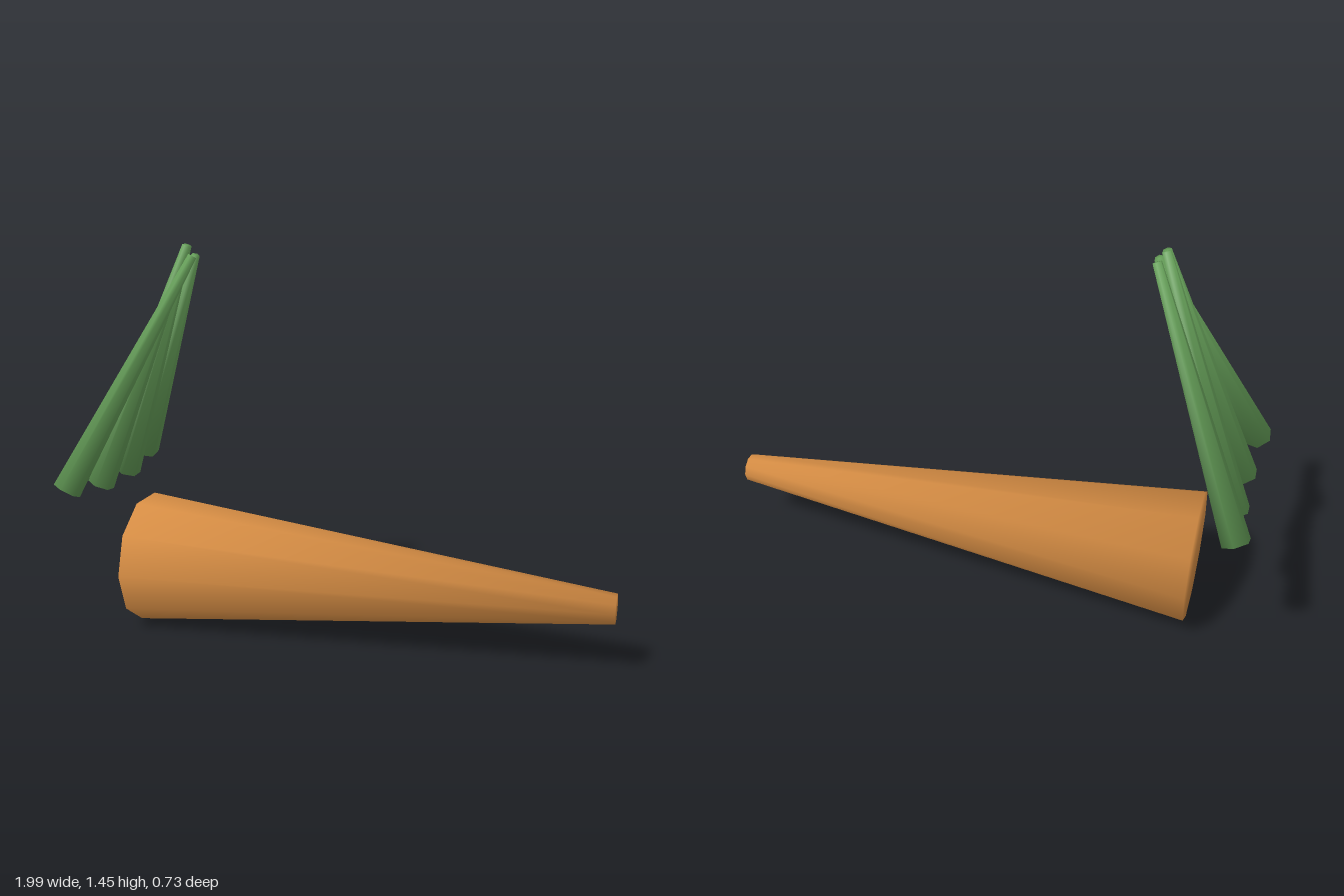
import * as THREE from 'three';

const orange = new THREE.MeshStandardMaterial({ color: 0xd98f45 });
orange.name = 'carrotOrange';
const green = new THREE.MeshStandardMaterial({ color: 0x66a059 });
green.name = 'leafGreen';

// Closed tapered rod between two points, shaded smoothly across its end caps.
function taperedRod(name, from, to, r0, r1, sides, material) {
  const a = new THREE.Vector3(...from);
  const b = new THREE.Vector3(...to);
  const axis = b.clone().sub(a);
  const length = axis.length();
  const geometry = new THREE.CylinderGeometry(r1, r0, length, sides, 1);

  // Each rim normal blends the side walls with the cap, weighted by corner angle.
  const cap = 1 - 2 / sides;
  const wall = Math.cos(Math.PI / sides);
  const slope = (r0 - r1) / length;
  const { position, normal } = geometry.attributes;
  const p = new THREE.Vector3();
  for (let i = 0; i < position.count; i++) {
    p.fromBufferAttribute(position, i);
    const end = Math.sign(p.y);
    p.y = 0;
    if (p.length() < 1e-6) p.set(0, end, 0);
    else p.setLength(wall).setY(slope + end * cap).normalize();
    normal.setXYZ(i, p.x, p.y, p.z);
  }

  const mesh = new THREE.Mesh(geometry, material);
  mesh.name = name;
  mesh.position.copy(a).add(b).multiplyScalar(0.5);
  mesh.quaternion.setFromUnitVectors(new THREE.Vector3(0, 1, 0), axis.normalize());
  return mesh;
}

export function createModel() {
  const model = new THREE.Group();
  model.name = 'carrot';

  // Root lying along x, tip towards +x
  model.add(taperedRod('root', [-0.8, 0.239, -0.007], [1, 0.239, -0.007], 0.247, 0.054, 10, orange));

  // Four stalks fanning out from a shared point above the root's wide end
  const stalks = new THREE.Group();
  stalks.name = 'stalks';
  for (const side of [1, -1]) {
    const label = side > 0 ? 'Left' : 'Right';
    stalks.add(taperedRod('outerStalk' + label,
      [-0.948, 0.583, 0.002 + side * 0.315], [-0.567, 1.41, -0.014 + side * 0.014], 0.052, 0.016, 6, green));
    stalks.add(taperedRod('innerStalk' + label,
      [-0.925, 0.551, 0.002 + side * 0.107], [-0.592, 1.447, -0.013 + side * 0.003], 0.05, 0.016, 6, green));
  }
  model.add(stalks);
  return model;
}
